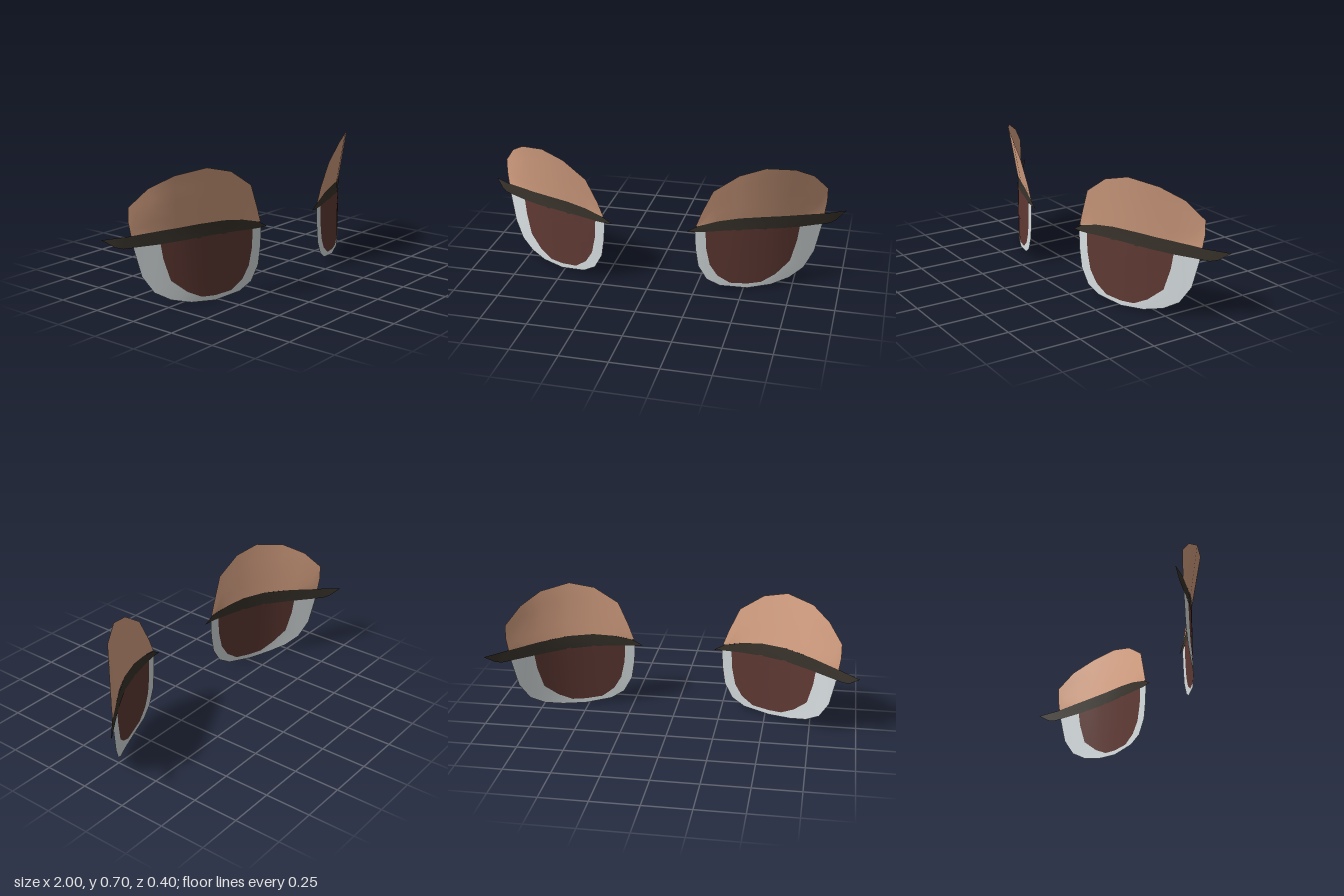
import * as THREE from 'three';

const material = (name, color) =>
  Object.assign(new THREE.MeshStandardMaterial({ color, side: THREE.DoubleSide }), { name });

// Depth of the curved face surface, sampled along x
const DEPTH = [[0.2, 0.19], [0.25, 0.187], [0.31, 0.173], [0.38, 0.152], [0.46, 0.129], [0.52, 0.108],
  [0.6, 0.075], [0.67, 0.04], [0.73, 0], [0.77, -0.026], [0.85, -0.082], [0.9, -0.115], [1, -0.2]];

function depthAt(x, y) {
  let i = 0;
  while (i < DEPTH.length - 2 && x > DEPTH[i + 1][0]) i++;
  const [x0, z0] = DEPTH[i], [x1, z1] = DEPTH[i + 1];
  const base = z0 + (z1 - z0) * (x - x0) / (x1 - x0);
  // the lid swells forward above the lashes, less at the outer corner
  const swell = Math.max(0, y - 0.4) * 0.19 * (1 - THREE.MathUtils.smoothstep(x, 0.76, 0.92));
  return base + swell;
}

// Surface patch between a lower and an upper outline with matching points
function patch(lower, upper, side, rows) {
  const pos = [], index = [], n = lower.length;
  for (let r = 0; r <= rows; r++) {
    for (let i = 0; i < n; i++) {
      const t = r / rows;
      const x = THREE.MathUtils.lerp(lower[i][0], upper[i][0], t);
      const y = THREE.MathUtils.lerp(lower[i][1], upper[i][1], t);
      pos.push(side * x, y, depthAt(x, y));
      if (r < rows && i < n - 1) {
        const a = r * n + i, b = a + 1, c = b + n, d = a + n;
        if (side > 0) index.push(a, b, c, a, c, d);
        else index.push(a, c, b, a, d, c);
      }
    }
  }
  const g = new THREE.BufferGeometry();
  g.setAttribute('position', new THREE.Float32BufferAttribute(pos, 3));
  g.setIndex(index);
  g.computeVertexNormals();
  return g;
}

// Outlines of one eye, from the inner to the outer corner
const lidTop = [[0.25, 0.37], [0.28, 0.45], [0.34, 0.58], [0.47, 0.67], [0.6, 0.705],
  [0.74, 0.677], [0.83, 0.617], [0.9, 0.525], [0.9, 0.45], [0.89, 0.38]];
const lidBottom = [[0.26, 0.37], [0.3, 0.381], [0.36, 0.397], [0.47, 0.412], [0.6, 0.412],
  [0.7, 0.403], [0.77, 0.396], [0.83, 0.388], [0.87, 0.383], [0.89, 0.38]];
const lashTop = [[0.2, 0.335], [0.26, 0.37], [0.36, 0.397], [0.47, 0.412], [0.6, 0.412],
  [0.74, 0.4], [0.9, 0.38], [0.95, 0.375], [1, 0.37]];
const lashBottom = [[0.2, 0.335], [0.27, 0.336], [0.36, 0.34], [0.47, 0.341], [0.6, 0.338],
  [0.74, 0.328], [0.92, 0.318], [0.95, 0.328], [1, 0.37]];
const whiteEdge = [[0.245, 0.336], [0.25, 0.24], [0.265, 0.14], [0.31, 0.06], [0.38, 0.02], [0.52, 0],
  [0.64, 0.009], [0.73, 0.034], [0.8, 0.08], [0.85, 0.17], [0.882, 0.322]];
const irisEdge = [[0.3, 0.338], [0.305, 0.24], [0.325, 0.145], [0.365, 0.08], [0.43, 0.035], [0.52, 0.026],
  [0.59, 0.03], [0.66, 0.068], [0.73, 0.135], [0.76, 0.25], [0.77, 0.328]];
const irisTop = irisEdge.map((p, i) => {
  const t = i / (irisEdge.length - 1);
  return [0.3 + 0.47 * t, 0.338 - 0.01 * t + 0.012 * Math.sin(Math.PI * t)];
});

export function createModel() {
  const skin = material('lid skin', 0xd9a384);
  const white = material('eye white', 0xdbe2e4);
  const brown = material('iris brown', 0x613a34);
  const dark = material('lash dark', 0x3a342c);

  const parts = [
    ['upperLid', lidBottom, lidTop, skin, 4],
    ['lashLine', lashBottom, lashTop, dark, 2],
    ['eyeWhite', whiteEdge, irisEdge, white, 3],
    ['iris', irisEdge, irisTop, brown, 4],
  ];
  const model = new THREE.Group();
  model.name = 'sleepyEyes';
  for (const side of [1, -1]) {
    const eye = new THREE.Group();
    eye.name = side > 0 ? 'leftEye' : 'rightEye';
    for (const [name, lower, upper, mat, rows] of parts) {
      const mesh = new THREE.Mesh(patch(lower, upper, side, rows), mat);
      mesh.name = name;
      eye.add(mesh);
    }
    model.add(eye);
  }
  return model;
}
